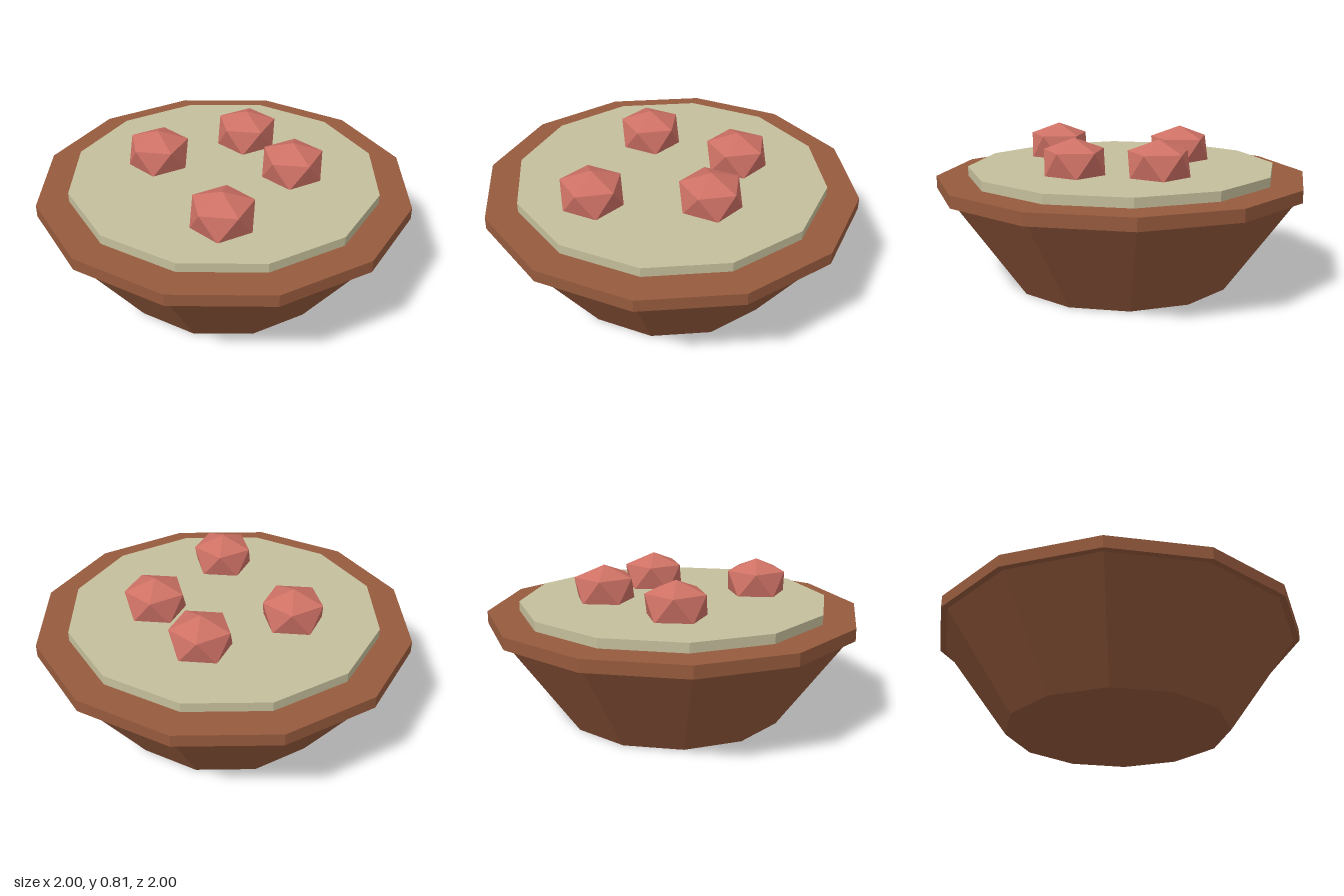
import * as THREE from 'three';
import { ConvexGeometry } from 'three/addons/geometries/ConvexGeometry.js';

const SIDES = 12;

function material(name, color) {
  const m = new THREE.MeshStandardMaterial({ color });
  m.name = name;
  return m;
}

// Faceted disc or cone section between two heights
function section(name, rTop, rBottom, y0, y1, mat) {
  const geo = new THREE.CylinderGeometry(rTop, rBottom, y1 - y0, SIDES).toNonIndexed();
  geo.computeVertexNormals();
  geo.translate(0, (y0 + y1) / 2, 0);
  const mesh = new THREE.Mesh(geo, mat);
  mesh.name = name;
  return mesh;
}

// Twenty-sided chunk: two staggered pentagons between a top and a bottom point
function chunkGeometry() {
  const points = [new THREE.Vector3(0, 0.812, 0), new THREE.Vector3(0, 0.56, 0)];
  for (let i = 0; i < 5; i++) {
    const a = THREE.MathUtils.degToRad(16 + 72 * i);
    const b = a + Math.PI / 5;
    points.push(new THREE.Vector3(0.162 * Math.cos(a), 0.75, 0.162 * Math.sin(a)));
    points.push(new THREE.Vector3(0.162 * Math.cos(b), 0.62, 0.162 * Math.sin(b)));
  }
  return new ConvexGeometry(points);
}

export function createModel() {
  const group = new THREE.Group();
  group.name = 'bowlOfStew';

  const wood = material('brown wood', 0x965a3d);
  const broth = material('pale broth', 0xc4be9b);
  const meat = material('red chunk', 0xce7165);

  // Bowl, rim and filling
  group.add(section('bowl', 0.97, 0.6, 0, 0.515, wood));
  group.add(section('rim', 1, 1, 0.51, 0.575, wood));
  group.add(section('filling', 0.83, 0.83, 0.55, 0.625, broth));

  // Chunks floating in the filling
  const geo = chunkGeometry();
  const spots = [[-0.165, -0.335], [0.26, -0.25], [-0.335, 0.17], [0.34, 0.345]];
  for (const [x, z] of spots) {
    const chunk = new THREE.Mesh(geo, meat);
    chunk.name = 'chunk';
    chunk.position.set(x, 0, z);
    group.add(chunk);
  }
  return group;
}
